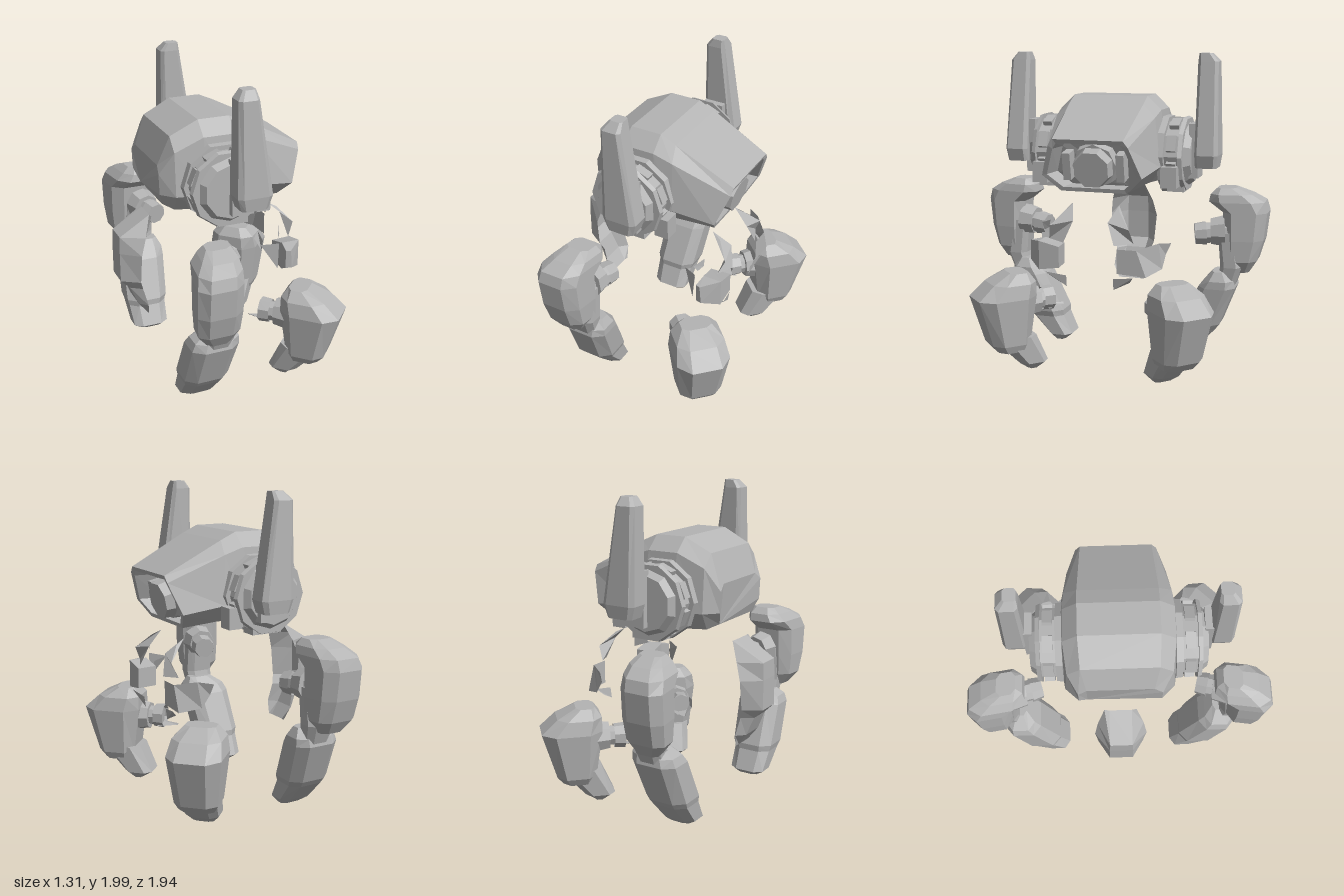
import * as THREE from 'three';

const grey = new THREE.MeshStandardMaterial({ color: 0xb4b4b4, flatShading: true, side: THREE.DoubleSide });
grey.name = 'plain grey armour';

// Skin between cross-sections with equal point counts, faces turned outward
function loft(rings, { closed = true, capStart = closed, capEnd = closed } = {}) {
  const tris = [];
  const n = rings[0].length;
  for (let r = 0; r + 1 < rings.length; r++) {
    for (let i = 0; i < (closed ? n : n - 1); i++) {
      const j = (i + 1) % n, a = rings[r], b = rings[r + 1];
      tris.push([a[i], a[j], b[j]], [a[i], b[j], b[i]]);
    }
  }
  const first = rings[0], last = rings[rings.length - 1];
  for (let i = 1; i + 1 < n; i++) {
    if (capStart) tris.push([first[0], first[i + 1], first[i]]);
    if (capEnd) tris.push([last[0], last[i], last[i + 1]]);
  }
  let volume = 0;
  for (const [a, b, c] of tris) {
    volume += a[0] * (b[1] * c[2] - b[2] * c[1]) + a[1] * (b[2] * c[0] - b[0] * c[2]) + a[2] * (b[0] * c[1] - b[1] * c[0]);
  }
  const points = tris.flatMap(([a, b, c]) => (volume < 0 ? [a, c, b] : [a, b, c])).flat();
  const geometry = new THREE.BufferGeometry();
  geometry.setAttribute('position', new THREE.Float32BufferAttribute(points, 3));
  geometry.computeVertexNormals();
  return geometry;
}

// Horizontal chamfered rectangle; skew shifts x as z grows
function section(y, x0, x1, z0, z1, bevel = 0.22, skew = 0) {
  const bx = (x1 - x0) * bevel, bz = (z1 - z0) * bevel;
  return [[x0 + bx, z0], [x1 - bx, z0], [x1, z0 + bz], [x1, z1 - bz], [x1 - bx, z1], [x0 + bx, z1], [x0, z1 - bz], [x0, z0 + bz]]
    .map(([x, z]) => [x - skew * (z - 0.75), y, z]);
}

function add(parent, name, geometry) {
  const mesh = new THREE.Mesh(geometry, grey);
  mesh.name = name;
  parent.add(mesh);
  return mesh;
}

function block(parent, name, size, position, rotation = [0, 0, 0]) {
  const mesh = add(parent, name, new THREE.BoxGeometry(...size));
  mesh.position.set(...position);
  mesh.rotation.set(...rotation);
  return mesh;
}

// Faceted cylinder between two points
function rod(parent, name, from, to, r0, r1 = r0, sides = 8, open = false) {
  const a = new THREE.Vector3(...from), b = new THREE.Vector3(...to);
  const mesh = add(parent, name, new THREE.CylinderGeometry(r1, r0, a.distanceTo(b), sides, 1, open));
  mesh.position.copy(a).add(b).multiplyScalar(0.5);
  mesh.quaternion.setFromUnitVectors(new THREE.Vector3(0, 1, 0), b.sub(a).normalize());
  return mesh;
}

// Hull ring from four half-profile points [x, y, z], running bottom to bottom over the top
const hullRing = (half) => [...half.map(([x, y, z]) => [x, y, -z]).reverse(), ...half];

function buildBody(root) {
  const front = [[0.475, 1.5, 0.22], [0.47, 1.46, 0.25], [0.4, 1.27, 0.315], [0.35, 1.17, 0.21]];
  const lip = [[0.465, 1.475, 0.2], [0.457, 1.44, 0.225], [0.397, 1.275, 0.285], [0.357, 1.195, 0.195]];
  const recess = lip.map(([x, y, z]) => [x - 0.15, y, z * 0.95]);
  // Shell open underneath
  add(root, 'hull', loft([
    [[-0.445, 1.47, 0.2], [-0.455, 1.43, 0.25], [-0.45, 1.3, 0.25], [-0.42, 1.22, 0.2]],
    [[-0.375, 1.65, 0.23], [-0.375, 1.57, 0.31], [-0.375, 1.3, 0.33], [-0.36, 1.19, 0.25]],
    [[-0.2, 1.735, 0.24], [-0.2, 1.65, 0.33], [-0.17, 1.3, 0.365], [-0.17, 1.18, 0.28]],
    [[0, 1.735, 0.24], [0, 1.65, 0.33], [0.03, 1.32, 0.37], [0.05, 1.2, 0.28]],
    [[0.1, 1.69, 0.24], [0.12, 1.61, 0.32], [0.14, 1.31, 0.36], [0.14, 1.2, 0.27]],
    front,
  ].map(hullRing), { closed: false, capStart: true }));
  add(root, 'windowFrame', loft([front, lip, recess].map(hullRing), { capStart: false }));

  // Sensor eye in the recessed window
  const eye = new THREE.Group();
  eye.name = 'sensorEye';
  eye.position.set(0.34, 1.325, 0);
  eye.rotation.z = -0.2;
  root.add(eye);
  rod(eye, 'eyeHousing', [-0.08, 0, 0], [0, 0, 0], 0.15, 0.14);
  rod(eye, 'eyeLens', [-0.02, 0, 0], [0.07, 0, 0], 0.13, 0.115).rotateY(Math.PI / 8);
  for (const s of [-1, 1]) block(eye, 'eyeBracket', [0.09, 0.17, 0.05], [-0.02, 0, s * 0.17]);
}

function buildShoulder(side) {
  const cx = -0.1, cy = 1.37;
  // Grooved disc with lugs set in the groove
  for (const [name, z0, z1, r0, r1] of [
    ['shoulderCollar', 0.335, 0.375, 0.25, 0.245], ['shoulderGroove', 0.375, 0.465, 0.215, 0.215], ['shoulderRim', 0.465, 0.49, 0.245, 0.235],
  ]) rod(side, name, [cx, cy, z0], [cx, cy, z1], r0, r1, 10).rotateY(Math.PI / 10);
  rod(side, 'shoulderCap', [cx, cy, 0.49], [cx, cy, 0.53], 0.2, 0.17, 10);
  for (let i = 0; i < 8; i++) {
    const a = (i + 0.5) * Math.PI / 4;
    block(side, 'shoulderLug', [0.04, 0.1, 0.06], [cx + 0.21 * Math.cos(a), cy + 0.205 * Math.sin(a), 0.42], [0, 0, a]);
  }
  block(side, 'shoulderFoot', [0.2, 0.08, 0.11], [-0.08, 1.18, 0.43]);
  block(side, 'shoulderTab', [0.09, 0.13, 0.1], [0.13, 1.25, 0.42]);
  block(side, 'earMount', [0.14, 0.34, 0.06], [-0.05, 1.4, 0.54]);
  // Tall tapering ear
  add(side, 'ear', loft([
    section(1.3, -0.11, 0.06, 0.555, 0.69, 0.14),
    section(1.38, -0.135, 0.085, 0.553, 0.7, 0.14),
    section(1.95, -0.13, -0.002, 0.553, 0.68, 0.16),
    section(2.0, -0.09, -0.01, 0.56, 0.635, 0.16),
  ]));
}

function buildRearLeg(side) {
  const k = 0.15;
  add(side, 'rearThigh', loft([
    section(0.58, -0.38, -0.23, 0.74, 0.86, 0.22, k),
    section(0.66, -0.44, -0.18, 0.71, 0.91, 0.22, k),
    section(0.8, -0.45, -0.17, 0.7, 0.95, 0.22, k),
    section(0.98, -0.45, -0.17, 0.69, 0.97, 0.22, k),
    section(1.05, -0.44, -0.17, 0.6, 0.95, 0.22, k),
    section(1.1, -0.4, -0.18, 0.61, 0.87, 0.22, k),
    section(1.14, -0.36, -0.21, 0.65, 0.77, 0.22, k),
  ]));
  add(side, 'rearShin', loft([
    section(0.48, -0.36, -0.2, 0.65, 0.77),
    section(0.62, -0.37, -0.18, 0.68, 0.82),
    section(0.85, -0.36, -0.18, 0.66, 0.78),
  ]));
  add(side, 'rearFoot', loft([
    section(0.01, -0.37, -0.22, 0.41, 0.48),
    section(0.05, -0.43, -0.19, 0.36, 0.53),
    section(0.18, -0.44, -0.18, 0.42, 0.65),
    section(0.22, -0.45, -0.165, 0.42, 0.68),
    section(0.48, -0.44, -0.14, 0.54, 0.78),
    section(0.53, -0.42, -0.14, 0.58, 0.77),
    section(0.59, -0.33, -0.17, 0.63, 0.72),
  ]));
  // Hip joint
  rod(side, 'rearJoint', [-0.27, 0.85, 0.75], [-0.21, 0.83, 0.51], 0.07);
  rod(side, 'rearJointCollar', [-0.26, 0.85, 0.7], [-0.245, 0.845, 0.61], 0.11, 0.09);
  rod(side, 'rearJointSleeve', [-0.23, 0.835, 0.58], [-0.21, 0.83, 0.51], 0.08, 0.07, 8, true);
}

function buildFrontLeg(side) {
  // Local +z points diagonally outward
  const leg = new THREE.Group();
  leg.name = 'frontLeg';
  leg.rotation.y = Math.PI / 4;
  side.add(leg);
  add(leg, 'frontShell', loft([
    section(0.15, -0.19, 0.03, 0.59, 0.78),
    section(0.2, -0.22, 0.05, 0.57, 0.82),
    section(0.5, -0.255, 0.08, 0.53, 0.91),
    section(0.59, -0.235, 0.065, 0.53, 0.81),
    section(0.65, -0.18, 0.01, 0.57, 0.69),
  ]));
  add(leg, 'frontToe', loft([
    section(0.015, -0.14, -0.01, 0.52, 0.58),
    section(0.06, -0.18, 0.03, 0.45, 0.64),
    section(0.24, -0.2, 0.04, 0.53, 0.8),
  ]));
  rod(leg, 'frontJoint', [-0.1, 0.44, 0.6], [-0.11, 0.44, 0.4], 0.065);
  rod(leg, 'frontJointCollar', [-0.1, 0.44, 0.57], [-0.1, 0.44, 0.48], 0.105, 0.09);
  rod(leg, 'frontJointSleeve', [-0.11, 0.44, 0.45], [-0.11, 0.44, 0.38], 0.075, 0.08, 8, true).rotateY(0.4);
  add(leg, 'frontJointSplinter', loft([[[-0.16, 0.39, 0.42], [-0.05, 0.38, 0.42]], [[-0.12, 0.39, 0.29], [-0.11, 0.38, 0.29]]], { closed: false }));
}

function buildSkirt(root) {
  const plate = (parent, name, ...rings) => add(parent, name, loft(rings, { closed: false }));
  // Curved back shell; rows are [y, innerX, halfWidth, outerX, outerHalfWidth]
  const rows = [
    [1.1, -0.455, 0.1, -0.46, 0.07], [0.98, -0.51, 0.145, -0.655, 0.07], [0.87, -0.545, 0.165, -0.66, 0.075],
    [0.68, -0.55, 0.145, -0.66, 0.075], [0.62, -0.53, 0.12, -0.6, 0.07], [0.5, -0.5, 0.13, -0.55, 0.08], [0.42, -0.485, 0.09, -0.49, 0.06],
  ];
  plate(root, 'backShell', ...rows.map(([y, xi, w, xo, wo]) => [[xi, y, -w], [xo, y, -wo], [xo, y, wo], [xi, y, w]]));

  // Loose skirt plates around the front
  for (const s of [-1, 1]) {
    const group = new THREE.Group();
    group.name = s > 0 ? 'frontSkirt' : 'frontSkirtMirrored';
    group.scale.z = s;
    root.add(group);
    plate(group, 'upperPlate', [[0.31, 1.09, 0.15], [0.42, 1.0, 0.11], [0.46, 0.87, 0.16]], [[0.37, 1.06, 0.17], [0.45, 0.97, 0.25], [0.41, 0.88, 0.27]]);
    plate(group, 'lowerShard', [[0.46, 0.68, 0.28], [0.44, 0.66, 0.15]], [[0.42, 0.64, 0.25], [0.43, 0.59, 0.15]]);
  }
  add(root, 'sidePlate', loft([
    [[0.46, 0.84, 0.19], [0.46, 0.71, 0.19], [0.33, 0.71, 0.2], [0.33, 0.84, 0.2]],
    [[0.46, 0.87, 0.32], [0.46, 0.69, 0.32], [0.34, 0.69, 0.32], [0.34, 0.87, 0.32]],
    [[0.36, 0.85, 0.41], [0.37, 0.73, 0.41], [0.33, 0.73, 0.4], [0.33, 0.85, 0.4]],
  ]));
  plate(root, 'brokenSidePlate', [[0.46, 0.85, -0.18], [0.46, 0.85, -0.3], [0.36, 0.88, -0.41], [0.28, 0.87, -0.47]],
    [[0.46, 0.7, -0.18], [0.46, 0.69, -0.36], [0.34, 0.72, -0.43], [0.29, 0.8, -0.44]]);
  plate(root, 'smallShard', [[0.29, 0.95, 0.36], [0.33, 0.98, 0.29]], [[0.31, 0.91, 0.34], [0.33, 0.93, 0.3]]);
  plate(root, 'thinShard', [[0.2, 0.87, 0.3], [0.3, 0.89, 0.36]], [[0.28, 0.84, 0.32], [0.29, 0.72, 0.37]]);
}

export function createModel() {
  const root = new THREE.Group();
  root.name = 'walkerRobot';
  buildBody(root);
  buildSkirt(root);
  for (const s of [1, -1]) {
    const side = new THREE.Group();
    side.name = s > 0 ? 'limbs' : 'limbsMirrored';
    side.scale.z = s;
    root.add(side);
    buildShoulder(side);
    buildRearLeg(side);
    buildFrontLeg(side);
  }
  return root;
}
